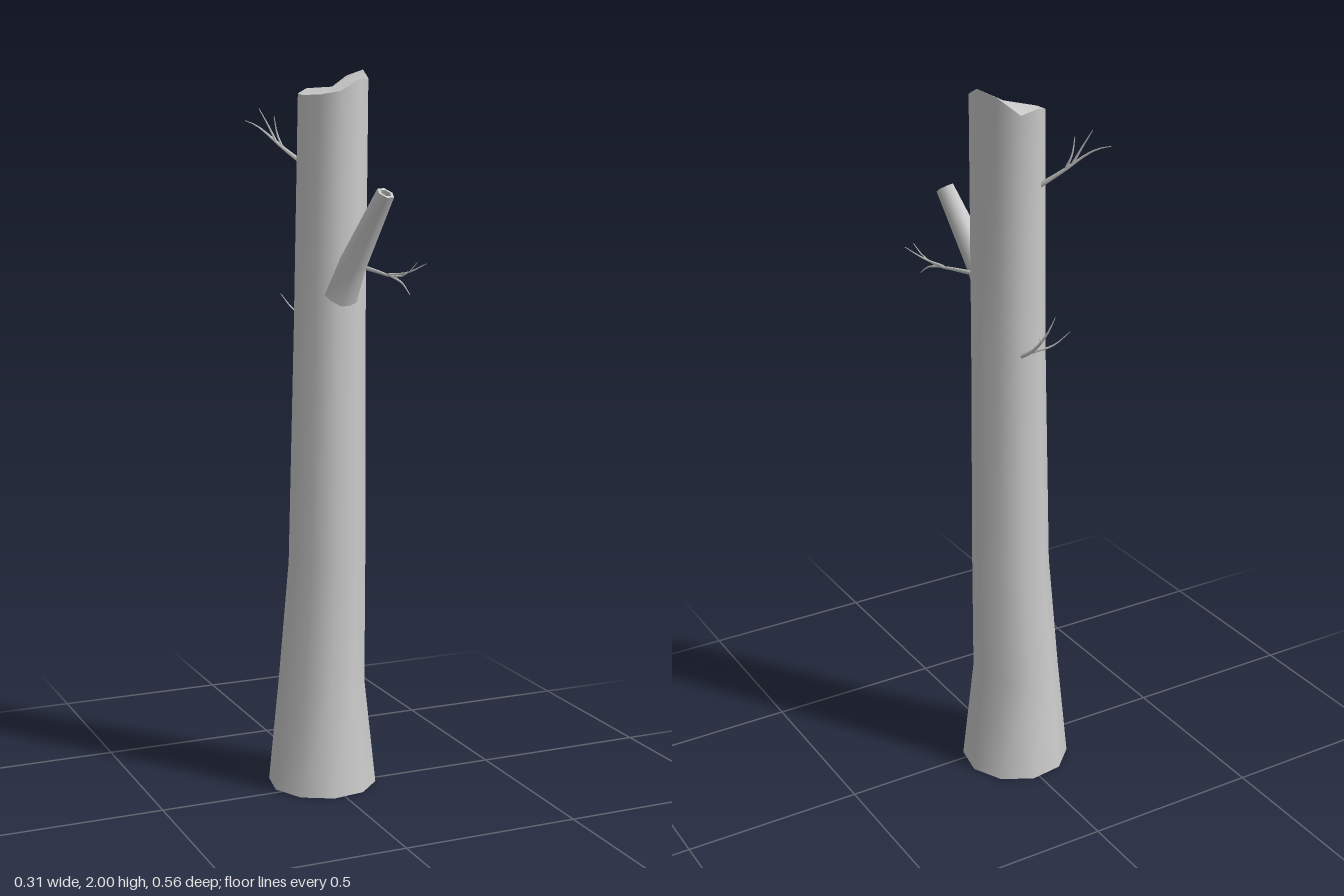
import * as THREE from 'three';

const material = new THREE.MeshStandardMaterial({ color: 0xcccccc, side: THREE.DoubleSide });
const V = (p) => new THREE.Vector3(...p);

// Smooth skin over closed rings of points listed from bottom to top
function loft(rings) {
  const n = rings[0].length, index = [];
  for (let i = 0; i < rings.length - 1; i++) {
    for (let k = 0; k < n; k++) {
      const a = i * n + k, b = i * n + (k + 1) % n;
      index.push(a, a + n, b, b, a + n, b + n);
    }
  }
  const g = new THREE.BufferGeometry().setFromPoints(rings.flat());
  g.setIndex(index);
  g.computeVertexNormals();
  return g;
}

// Fan from a rim to a centre point
function fan(rim, centre) {
  const index = [];
  rim.forEach((_, k) => index.push(k, rim.length, (k + 1) % rim.length));
  const g = new THREE.BufferGeometry().setFromPoints([...rim, centre]);
  g.setIndex(index);
  g.computeVertexNormals();
  return g;
}

// Tube along a curve, thinning from r0 to r1
function taperedTube(points, r0, r1) {
  const curve = new THREE.CatmullRomCurve3(points.map(V));
  const segments = 8, sides = 5;
  const g = new THREE.TubeGeometry(curve, segments, r0, sides);
  const pos = g.attributes.position, v = new THREE.Vector3();
  for (let i = 0; i < pos.count; i++) {
    const t = Math.floor(i / (sides + 1)) / segments;
    const c = curve.getPointAt(t);
    v.fromBufferAttribute(pos, i).sub(c).multiplyScalar(1 + (r1 / r0 - 1) * t).add(c);
    pos.setXYZ(i, v.x, v.y, v.z);
  }
  return g;
}

export function createModel() {
  const model = new THREE.Group();
  const add = (name, geometry, parent = model) => {
    const mesh = new THREE.Mesh(geometry, material);
    mesh.name = name;
    parent.add(mesh);
  };

  // Ten-sided trunk: height, centre x, centre z, radius
  const sides = 10;
  const ring = (y, cx, cz, r) => Array.from({ length: sides }, (_, k) => {
    const a = THREE.MathUtils.degToRad(172 + 36 * k);
    return new THREE.Vector3(cx + r * Math.cos(a), Array.isArray(y) ? y[k] : y, cz + r * Math.sin(a));
  });
  const brokenRim = [1.93, 1.935, 1.95, 1.94, 1.985, 2, 1.975, 1.972, 1.94, 1.93];
  const trunk = [
    ring(0, -0.007, -0.044, 0.153),
    ring(0.3, -0.009, -0.043, 0.122),
    ring(0.64, 0.006, -0.039, 0.108),
    ring(1.3, 0.016, -0.043, 0.099),
    ring(brokenRim, 0.042, -0.08, 0.096),
  ];
  add('trunk', loft(trunk));
  add('brokenTop', fan(trunk[4], new THREE.Vector3(0.042, 1.953, -0.08)));

  // Six-sided broken limb with a hollow end
  const base = V([0.025, 1.42, 0.025]), tip = V([0.08, 1.675, 0.18]);
  const axis = tip.clone().sub(base).normalize();
  const sideways = new THREE.Vector3(0, 1, 0).cross(axis).normalize();
  const upward = axis.clone().cross(sideways);
  const limbRing = (t, r) => Array.from({ length: 6 }, (_, k) => {
    const a = -k * Math.PI / 3;
    return base.clone().lerp(tip, t)
      .addScaledVector(sideways, r * Math.cos(a)).addScaledVector(upward, r * Math.sin(a));
  });
  const limb = new THREE.Group();
  limb.name = 'brokenLimb';
  model.add(limb);
  add('limbBark', loft([limbRing(-0.1, 0.055), limbRing(0.25, 0.038), limbRing(1, 0.025)]), limb);
  add('limbRim', loft([limbRing(1, 0.025), limbRing(1, 0.016)]), limb);
  add('limbHollow', loft([limbRing(1, 0.016), limbRing(0.93, 0.013)]), limb);
  add('limbHollowFloor', fan(limbRing(0.93, 0.013), base.clone().lerp(tip, 0.93)), limb);

  // Twigs: the first path is the stem, the others its side shoots
  const twigs = {
    frontTwig: [
      [[0.07, 1.475, 0.03], [0.085, 1.465, 0.12], [0.098, 1.457, 0.19], [0.11, 1.468, 0.25], [0.125, 1.5, 0.28]],
      [[0.097, 1.457, 0.185], [0.104, 1.442, 0.235], [0.107, 1.415, 0.275]],
      [[0.092, 1.46, 0.17], [0.12, 1.47, 0.235], [0.153, 1.495, 0.278]],
    ],
    upperBackTwig: [
      [[-0.02, 1.745, -0.14], [-0.065, 1.79, -0.185], [-0.1, 1.83, -0.222], [-0.118, 1.85, -0.25], [-0.137, 1.862, -0.282]],
      [[-0.077, 1.803, -0.197], [-0.095, 1.85, -0.215], [-0.115, 1.895, -0.232]],
      [[-0.065, 1.79, -0.185], [-0.075, 1.83, -0.2], [-0.083, 1.875, -0.2]],
    ],
    lowerBackTwig: [
      [[0.035, 1.28, -0.12], [0.022, 1.315, -0.175], [0.017, 1.345, -0.205], [0.006, 1.38, -0.225], [-0.005, 1.425, -0.242]],
      [[0.018, 1.34, -0.2], [0.022, 1.355, -0.22], [0.036, 1.37, -0.232]],
      [[0.024, 1.31, -0.17], [-0.02, 1.335, -0.21], [-0.047, 1.38, -0.248]],
    ],
  };
  for (const [name, paths] of Object.entries(twigs)) {
    const twig = new THREE.Group();
    twig.name = name;
    model.add(twig);
    paths.forEach((path, i) => add(i ? 'sideShoot' : 'stem', taperedTube(path, i ? 0.004 : 0.007, 0.001), twig));
  }
  return model;
}
